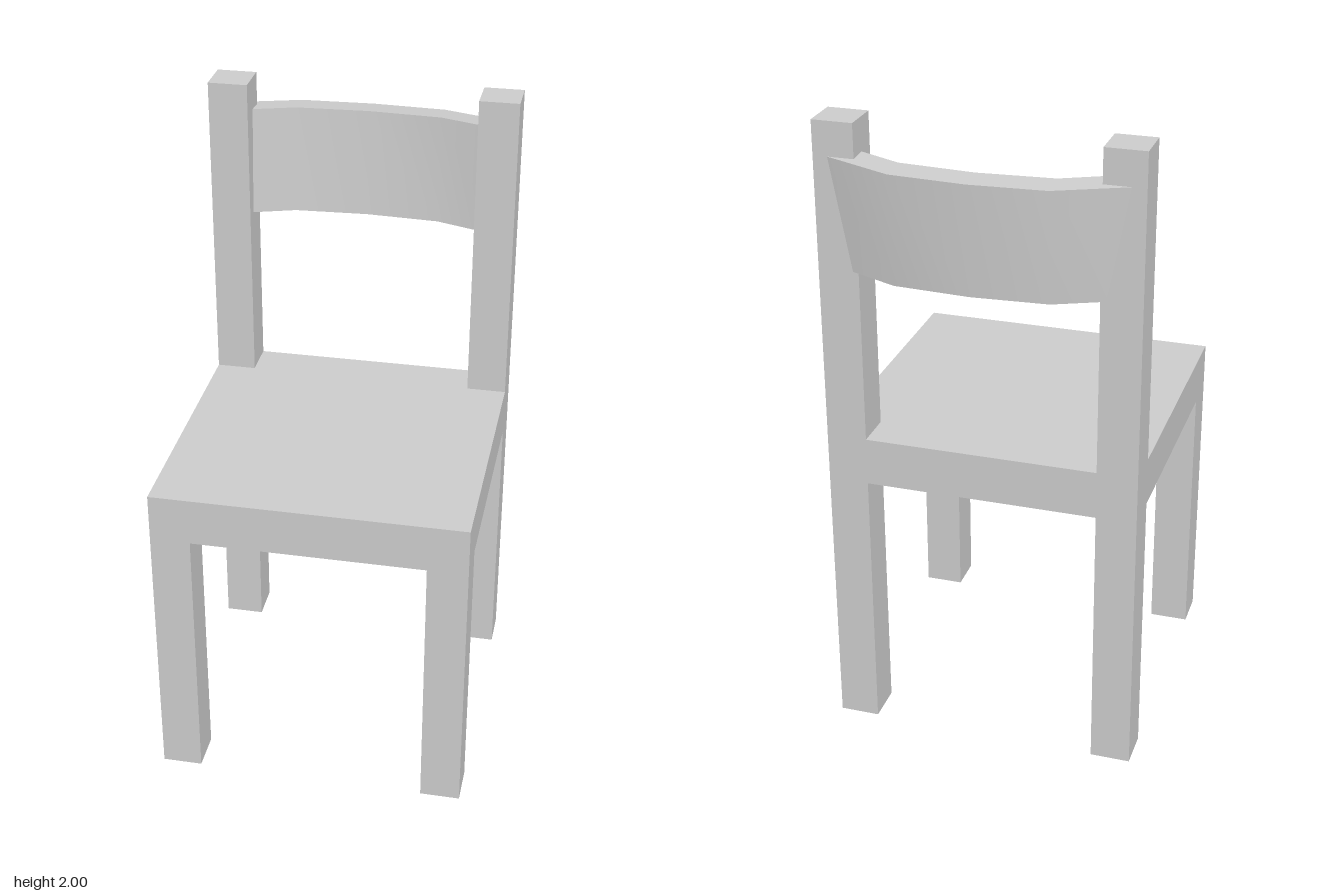
import * as THREE from 'three';
import { toCreasedNormals } from 'three/addons/utils/BufferGeometryUtils.js';

const HALF_W = 0.483;           // half width of the chair
const FRONT = 0.527, BACK = -0.436;
const POST = 0.124;             // square section of legs and posts
const SEAT_LOW = 0.862, SEAT_TOP = 1.012, TOP = 2;

export function createModel() {
  const chair = new THREE.Group();
  chair.name = 'chair';
  const material = new THREE.MeshStandardMaterial({ color: 0xcccccc });

  const add = (name, geometry) => {
    const mesh = new THREE.Mesh(geometry, material);
    mesh.name = name;
    chair.add(mesh);
    return mesh;
  };
  const box = (name, w, d, y0, y1, x, z) =>
    add(name, new THREE.BoxGeometry(w, y1 - y0, d)).position.set(x, (y0 + y1) / 2, z);

  // Seat slab, flush with the legs
  box('seat', HALF_W * 2, FRONT - BACK, SEAT_LOW, SEAT_TOP, 0, (FRONT + BACK) / 2);

  // Legs under the seat, back posts above it
  for (const [side, sign] of [['left', 1], ['right', -1]]) {
    const x = sign * (HALF_W - POST / 2);
    const zBack = BACK + POST / 2;
    box(`${side}FrontLeg`, POST, POST, 0, SEAT_LOW, x, FRONT - POST / 2);
    box(`${side}BackLeg`, POST, POST, 0, SEAT_LOW, x, zBack);
    box(`${side}BackPost`, POST, POST, SEAT_TOP, TOP, x, zBack);
  }

  // Curved backrest: plan outline extruded upwards, then leaned back
  const outline = new THREE.Shape([
    [-0.455, -0.098], [-0.425, -0.178], [-0.23, -0.1], [0, -0.085], [0.23, -0.1],
    [0.425, -0.178], [0.455, -0.098], [0.23, -0.013], [0, 0], [-0.23, -0.013],
  ].map(([x, y]) => new THREE.Vector2(x, y)));
  const band = new THREE.ExtrudeGeometry(outline, { depth: 0.34, bevelEnabled: false });
  band.rotateX(-Math.PI / 2);
  band.rotateX(-0.07);
  band.translate(0, 1.55, -0.504);
  add('backrest', toCreasedNormals(band, Math.PI / 6));

  return chair;
}
